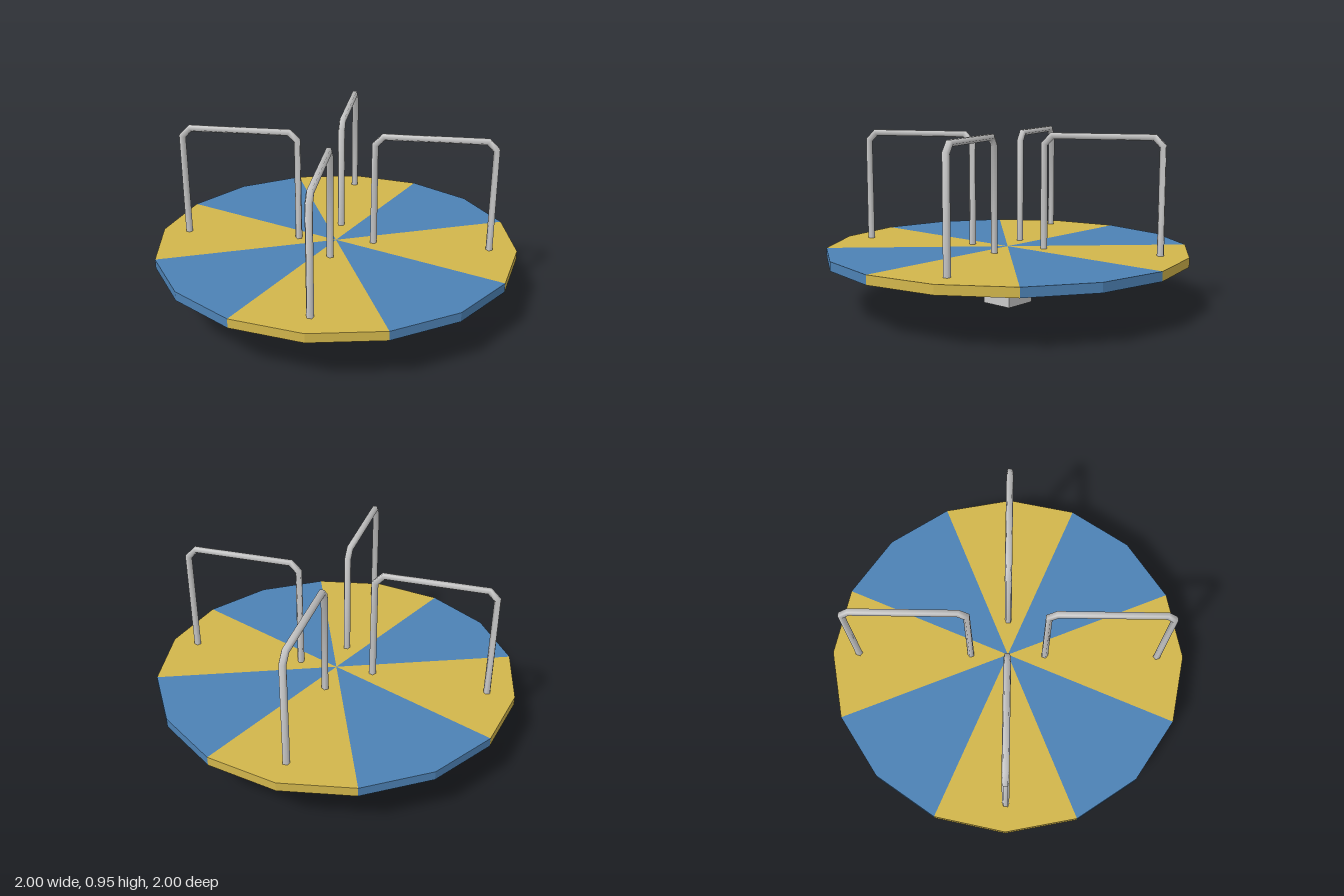
import * as THREE from 'three';

// Tube path that steps exactly through its corner points, mitring each bend
class BentPath extends THREE.Curve {
  constructor(points) {
    super();
    this.points = points;
  }
  index(u) {
    return Math.round(u * (this.points.length - 1));
  }
  getPoint(u) {
    return this.points[this.index(u)].clone();
  }
  getPointAt(u) {
    return this.getPoint(u);
  }
  getTangentAt(u) {
    const p = this.points, i = this.index(u);
    const t = new THREE.Vector3();
    if (i > 0) t.add(p[i].clone().sub(p[i - 1]).normalize());
    if (i < p.length - 1) t.add(p[i + 1].clone().sub(p[i]).normalize());
    return t.normalize();
  }
}

export function createModel() {
  const model = new THREE.Group();
  model.name = 'merryGoRound';

  const metal = new THREE.MeshStandardMaterial({ color: 0xcccccc, side: THREE.DoubleSide });
  const hubMetal = new THREE.MeshStandardMaterial({ color: 0xcccccc, flatShading: true });
  const yellow = new THREE.MeshStandardMaterial({ color: 0xd2b64c, flatShading: true });
  const blue = new THREE.MeshStandardMaterial({ color: 0x4d82b5, flatShading: true });

  const add = (name, geometry, material) => {
    const mesh = new THREE.Mesh(geometry, material);
    mesh.name = name;
    model.add(mesh);
    return mesh;
  };

  // Platform: eight wedges in alternating colours
  const deckBottom = 0.27, deckTop = 0.32;
  for (let k = 0; k < 8; k++) {
    const wedge = new THREE.CylinderGeometry(
      1, 1, deckTop - deckBottom, 2, 1, false, k * Math.PI / 4, Math.PI / 4);
    add('platformWedge' + (k + 1), wedge, k % 2 ? blue : yellow)
      .position.y = (deckTop + deckBottom) / 2;
  }

  // Four-sided hub post under the platform
  const hub = new THREE.CylinderGeometry(0.14, 0.133, 0.28, 4);
  hub.rotateY(Math.PI / 4);
  add('hubPost', hub, hubMetal).position.y = 0.14;

  // Bent-tube handrails, one over each yellow wedge
  const inner = 0.21, outer = 0.85, rail = 0.94, bend = 0.045;
  const path = new BentPath([
    [inner, 0.29],
    [inner, rail - bend],
    [inner + bend, rail],
    [outer - bend, rail],
    [outer, rail - bend],
    [outer, 0.29],
  ].map(([z, y]) => new THREE.Vector3(0, y, z)));
  const tube = new THREE.TubeGeometry(path, 5, 0.02, 5, false);
  for (let k = 0; k < 4; k++) {
    add('handrail' + (k + 1), tube, metal).rotation.y = Math.PI / 8 + k * Math.PI / 2;
  }

  return model;
}
